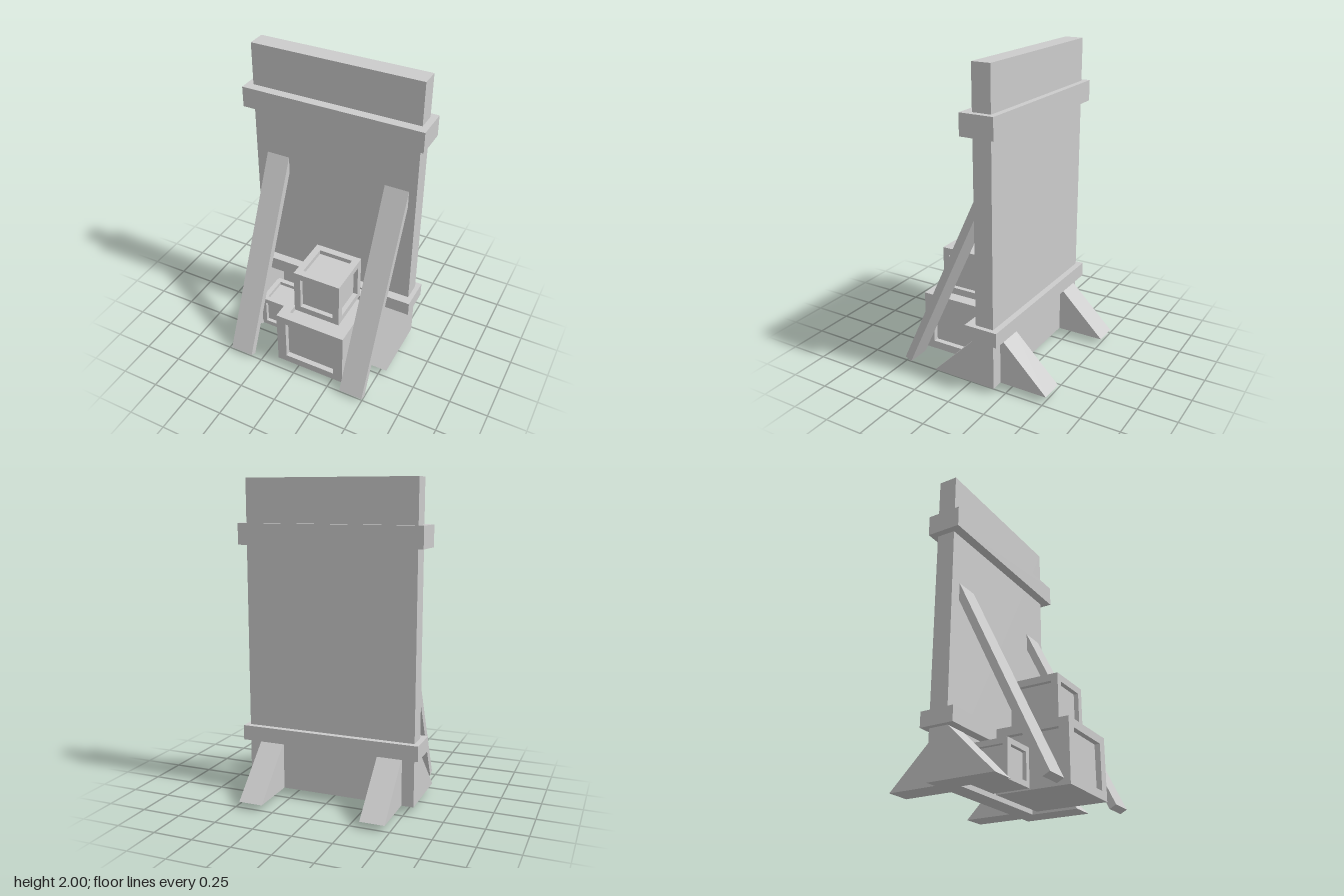
import * as THREE from 'three';

const material = new THREE.MeshStandardMaterial({ color: 0xcccccc, flatShading: true });

// Box given by its lower and upper limits on each axis
function box(name, x0, x1, y0, y1, z0, z1) {
  const mesh = new THREE.Mesh(new THREE.BoxGeometry(x1 - x0, y1 - y0, z1 - z0), material);
  mesh.position.set((x0 + x1) / 2, (y0 + y1) / 2, (z0 + z1) / 2);
  mesh.name = name;
  return mesh;
}

// Prism with a [z, y] side profile, spanning x0 to x1
function prism(name, profile, x0, x1) {
  const shape = new THREE.Shape(profile.map(([z, y]) => new THREE.Vector2(-z, y)));
  const geometry = new THREE.ExtrudeGeometry(shape, { depth: x1 - x0, bevelEnabled: false });
  geometry.rotateY(Math.PI / 2);
  const mesh = new THREE.Mesh(geometry, material);
  mesh.position.x = x0;
  mesh.name = name;
  return mesh;
}

// Crate: recessed core inside a frame of posts and rails
function crate(name, [x0, x1], [y0, y1], [z0, z1], border, rail, recess) {
  const group = new THREE.Group();
  group.name = name;
  group.add(box('crateCore', x0 + recess, x1 - recess, y0, y1 - recess, z0 + recess, z1 - recess));
  for (const x of [x0, x1 - border]) {
    for (const z of [z0, z1 - border]) {
      group.add(box('cratePost', x, x + border, y0, y1, z, z + border));
    }
  }
  for (const y of [y0, y1 - rail]) {
    for (const z of [z0, z1 - border]) {
      group.add(box('crateRail', x0 + border, x1 - border, y, y + rail, z, z + border));
    }
    for (const x of [x0, x1 - border]) {
      group.add(box('crateRail', x, x + border, y, y + rail, z0 + border, z1 - border));
    }
  }
  return group;
}

export function createModel() {
  const model = new THREE.Group();
  model.name = 'bracedWall';

  // Upright wall and the two bands around it
  model.add(box('wall', -0.55, 0.55, 0.04, 2, -0.195, -0.075));
  model.add(box('upperBand', -0.593, 0.59, 1.595, 1.728, -0.234, -0.015));
  model.add(box('lowerBand', -0.583, 0.58, 0.345, 0.44, -0.234, -0.015));

  // Wedge feet: front pair flush with the wall sides, back pair further in
  const frontFoot = [[-0.075, 0.04], [0.235, 0.04], [-0.075, 0.35]];
  const backFoot = [[-0.195, 0.04], [-0.195, 0.35], [-0.51, 0.04]];
  model.add(prism('frontFoot', frontFoot, -0.55, -0.395));
  model.add(prism('frontFoot', frontFoot, 0.395, 0.55));
  model.add(prism('backFoot', backFoot, -0.473, -0.318));
  model.add(prism('backFoot', backFoot, 0.315, 0.47));

  // Long planks leaning against the front of the wall
  const brace = [[0.51, 0.022], [-0.08, 1.278], [-0.08, 1.163], [0.467, 0]];
  model.add(prism('brace', brace, -0.473, -0.318));
  model.add(prism('brace', brace, 0.343, 0.5));

  // Crates
  model.add(crate('largeCrate', [-0.137, 0.336], [0.04, 0.43], [-0.013, 0.458], 0.064, 0.052, 0.035));
  model.add(crate('topCrate', [-0.058, 0.257], [0.43, 0.742], [0.042, 0.356], 0.044, 0.044, 0.03));
  model.add(crate('smallCrate', [-0.4, -0.167], [0.04, 0.272], [-0.013, 0.22], 0.033, 0.033, 0.025));

  return model;
}
